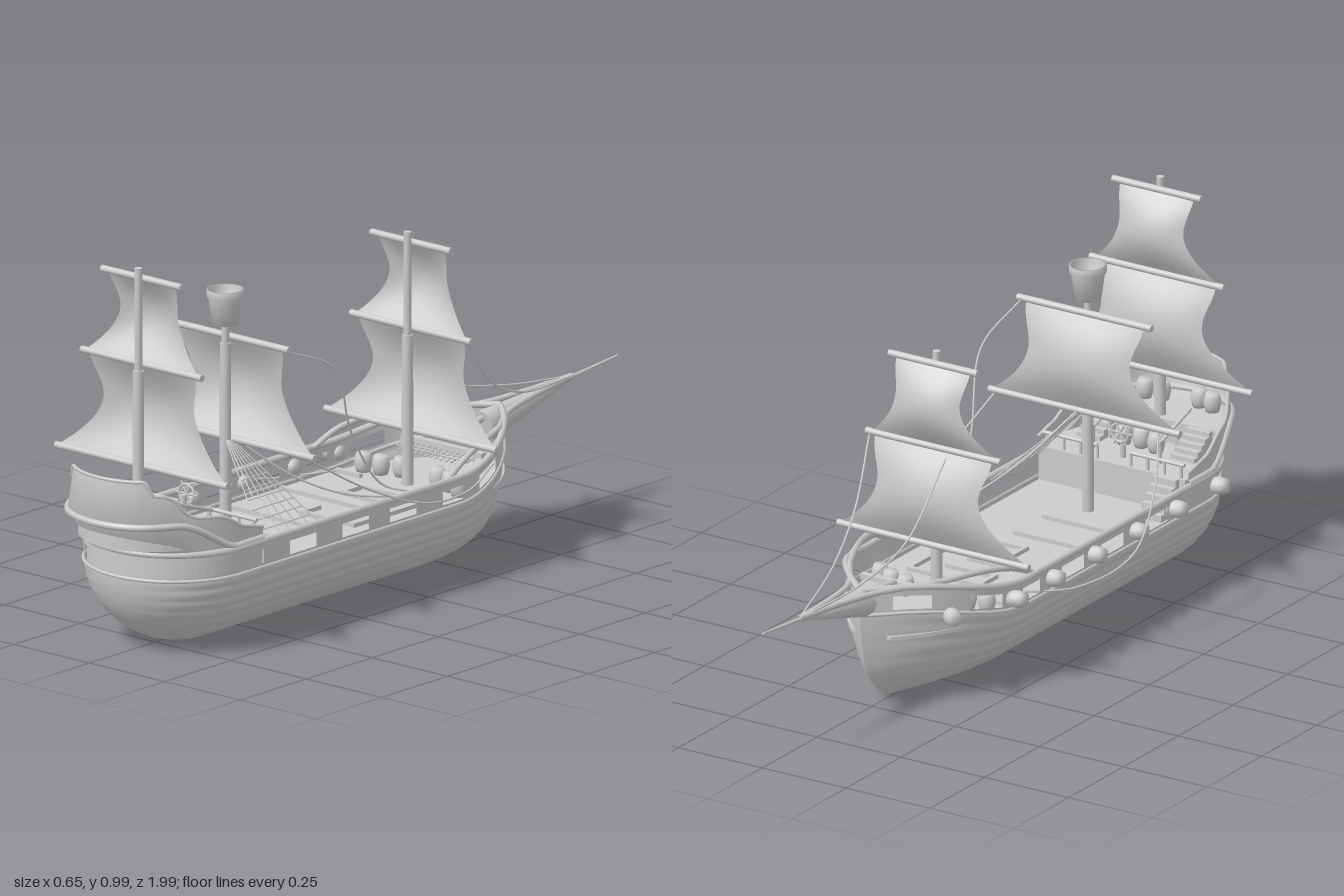
import * as THREE from 'three';

const mat = new THREE.MeshStandardMaterial({ color: 0xcccccc });
const matDS = new THREE.MeshStandardMaterial({ color: 0xcccccc, side: THREE.DoubleSide });
const V = (p) => new THREE.Vector3(...p);
const smooth = THREE.MathUtils.smoothstep;

export function createModel() {
  const root = new THREE.Group();
  const add = (name, geo, pos = [0, 0, 0], m = mat, parent = root) => {
    const mesh = new THREE.Mesh(geo, m);
    mesh.name = name;
    mesh.position.set(...pos);
    parent.add(mesh);
    return mesh;
  };
  const box = (name, w, h, d, pos) => add(name, new THREE.BoxGeometry(w, h, d), pos);
  const tube = (name, pts, r, seg = 40) =>
    add(name, new THREE.TubeGeometry(new THREE.CatmullRomCurve3(pts.map(V)), seg, r, 6));
  // Tapered round bar between two points
  const bar = (name, a, b, r0, r1 = r0, sides = 10) => {
    const d = V(b).sub(V(a));
    const mesh = add(name, new THREE.CylinderGeometry(r1, r0, d.length(), sides));
    mesh.position.copy(V(a).add(V(b)).multiplyScalar(0.5));
    mesh.quaternion.setFromUnitVectors(new THREE.Vector3(0, 1, 0), d.normalize());
    return mesh;
  };
  // Surface from a point rule, with optional missing cells
  const grid = (name, nu, nv, fn, skip = () => false) => {
    const pos = [], idx = [];
    for (let j = 0; j <= nv; j++) for (let i = 0; i <= nu; i++) pos.push(...fn(i, j));
    for (let j = 0; j < nv; j++) for (let i = 0; i < nu; i++) {
      if (skip(i, j)) continue;
      const a = j * (nu + 1) + i, b = a + 1, c = a + nu + 1, d = c + 1;
      idx.push(a, c, b, b, c, d);
    }
    const g = new THREE.BufferGeometry();
    g.setAttribute('position', new THREE.Float32BufferAttribute(pos, 3));
    g.setIndex(idx);
    g.computeVertexNormals();
    return add(name, g, [0, 0, 0], matDS);
  };

  // Hull plan: pointed bow, straight sides, round stern; c shrinks it towards the keel
  const BOW = 24, MID = 39, STERN = 16, H = BOW + MID + STERN;
  const plan = (j, c = 1) => {
    const i = j <= H ? j : 2 * H - j, s = j <= H ? 1 : -1;
    if (i < BOW) {
      const t = 1 - i / BOW;
      return [s * 0.225 * c * (1 - t ** 2.4), -0.1 - t * (0.27 + 0.185 * c)];
    }
    if (i <= BOW + MID) return [s * 0.225 * c, -0.1 + 0.78 * (i - BOW) / MID];
    const a = (i - BOW - MID) / STERN * Math.PI / 2;
    return [s * 0.225 * c * Math.cos(a), 0.68 + 0.225 * c * Math.sin(a)];
  };
  const sheer = (z) => 0.055 * smooth(-z, 0.15, 0.5);

  // Planked hull shell with open gun ports
  const levels = [];
  for (let k = 0; k <= 60; k++) levels.push(0.213 * (k / 60) ** 1.5);
  levels.push(0.216, 0.252, 0.275);
  const portLevel = 61;
  const ports = [[0.6, 0.68], [0.4, 0.5], [0.21, 0.31], [0.02, 0.12], [-0.16, -0.07], [-0.33, -0.23], [-0.5, -0.43]];
  grid('hull', 2 * H, levels.length - 1, (i, k) => {
    const y = levels[k];
    const c = Math.sqrt(1 - Math.max(0, 1 - y / 0.22) ** 2);
    const lap = y < 0.213 ? 1 + 0.018 * Math.abs(Math.sin(Math.PI * y / 0.03)) : 1.01;
    const [x, z] = plan(i, c);
    return [x * lap, y + sheer(z) * smooth(y, 0.08, 0.21), z];
  }, (i, k) => {
    if (k !== portLevel) return false;
    const h = i < H ? i : 2 * H - 1 - i, s = h - BOW - MID;
    if (s >= 0) return (s >= 2 && s <= 5) || (s >= 9 && s <= 12);
    const z = (plan(h)[1] + plan(h + 1)[1]) / 2;
    return ports.some(([a, b]) => z > a && z < b);
  });
  for (const [name, y, r] of [['gunwale', 0.275, 0.009], ['wale', 0.206, 0.005]]) {
    const pts = [];
    for (let j = 0; j <= 2 * H; j += 2) {
      const [x, z] = plan(j);
      pts.push([x * 1.01, y + sheer(z), z]);
    }
    tube(name, pts, r, 160);
  }

  // Decks cut from the hull plan
  const deck = (name, z0, z1, y0, y1, k = 0.97, dz = 0) => {
    const right = [];
    for (let j = 0; j <= H; j++) {
      const [x, z] = plan(j);
      if (z + dz >= z0 && z + dz <= z1) right.push([x * k, z + dz - 0.006]);
    }
    const ring = [...right, ...right.slice().reverse().map(([x, z]) => [-x, z])];
    const shape = new THREE.Shape(ring.map(([x, z]) => new THREE.Vector2(x, -z)));
    const g = new THREE.ExtrudeGeometry(shape, { depth: y1 - y0, bevelEnabled: false });
    add(name, g.rotateX(-Math.PI / 2), [0, y0, 0]);
  };
  deck('mainDeck', -0.5, 0.9, 0.19, 0.2);
  deck('quarterDeck', 0.6, 0.91, 0.2, 0.29);
  deck('poopDeck', 0.79, 0.98, 0.29, 0.35, 0.88, 0.05);

  // Raised strips on the main deck: x0, x1, z0, z1
  for (const [x0, x1, z0, z1] of [
    [-0.2, -0.13, -0.17, -0.17], [-0.06, 0.15, -0.1, -0.1], [-0.06, -0.06, -0.1, -0.03], [-0.06, 0.08, -0.03, -0.03],
    [0.15, 0.15, -0.1, 0.17], [-0.2, 0.06, 0.04, 0.04], [-0.02, 0.15, 0.17, 0.17], [-0.02, -0.02, 0.11, 0.17],
    [-0.2, 0.06, 0.25, 0.25], [-0.12, 0.06, 0.38, 0.38], [-0.12, -0.12, 0.38, 0.46]])
    box('deckStrip', x1 - x0 + 0.012, 0.012, z1 - z0 + 0.012, [(x0 + x1) / 2, 0.205, (z0 + z1) / 2]);

  // Flared, stepped stern bulwark with its rim
  const steps = [[0.6, 0.31], [0.68, 0.33], [0.74, 0.365], [0.83, 0.375], [0.86, 0.41], [0.875, 0.435],
    [0.915, 0.44], [0.925, 0.475], [1.1, 0.475]];
  const topY = (z) => {
    const n = Math.max(1, steps.findIndex((s) => s[0] >= z));
    const [a, b] = [steps[n - 1], steps[n]];
    return THREE.MathUtils.mapLinear(Math.max(z, 0.6), a[0], b[0], a[1], b[1]);
  };
  const first = BOW + 35, count = 2 * (H - first);
  const sternPoint = (i, k) => {
    const [x, z] = plan(first + i);
    const f = smooth(z, 0.7, 0.88), rimY = 0.282 + 0.078 * smooth(z, 0.7, 0.82);
    if (k === 0) return [x * 1.01, 0.275, z];
    if (k === 1) return [x * (1 - 0.03 * f), rimY, z + 0.075 * f];
    const zt = z + 0.06 * f;
    return [x * (1 - 0.06 * f), Math.max(rimY, topY(zt)), zt];
  };
  grid('sternBulwark', count, 2, sternPoint);
  const rim = [], cap = [];
  for (let i = 0; i <= count; i++) {
    rim.push(sternPoint(i, 1));
    cap.push(sternPoint(i, 2));
  }
  tube('sternRim', rim, 0.009, 100);
  tube('sternCap', cap, 0.005, 100);

  // Stairs, door and steering wheel
  const stairs = (x, z, y0, n, rise) => {
    for (let k = 0; k < n; k++)
      box('stairStep', 0.07, rise * (k + 1), 0.017, [x, y0 + rise * (k + 1) / 2, z + k * 0.017]);
  };
  stairs(-0.165, 0.52, 0.2, 5, 0.018);
  for (const s of [-1, 1]) {
    stairs(s * 0.14, 0.71, 0.29, 5, 0.012);
    for (const z of [0.66, 0.74]) bar('stairPost', [s * 0.1, 0.29, z], [s * 0.1, 0.35, z], 0.006);
    bar('stairRail', [s * 0.1, 0.34, 0.65], [s * 0.1, 0.39, 0.8], 0.005);
    bar('deckRail', [s * 0.05, 0.325, 0.605], [s * 0.21, 0.325, 0.605], 0.005);
    for (let k = 0; k < 4; k++) bar('railPost', [s * (0.05 + k * 0.05), 0.28, 0.605], [s * (0.05 + k * 0.05), 0.325, 0.605], 0.004);
  }
  box('door', 0.05, 0.07, 0.01, [-0.04, 0.235, 0.598]);
  bar('wheelPost', [0, 0.29, 0.645], [0, 0.36, 0.645], 0.008);
  add('wheelRing', new THREE.TorusGeometry(0.025, 0.004, 6, 20), [0, 0.36, 0.632]);
  for (let k = 0; k < 3; k++) {
    const a = k * Math.PI / 3, x = 0.036 * Math.cos(a), y = 0.036 * Math.sin(a);
    bar('wheelSpoke', [-x, 0.36 - y, 0.632], [x, 0.36 + y, 0.632], 0.003, 0.003, 6);
  }

  // Barrels on deck and hung outside the hull
  const barrelGeo = new THREE.LatheGeometry([[0, -0.025], [0.017, -0.025], [0.021, -0.012], [0.023, 0],
    [0.021, 0.012], [0.017, 0.025], [0, 0.025]].map((p) => new THREE.Vector2(...p)), 14);
  for (const [x, y, z] of [[-0.1, 0.375, 0.9], [-0.055, 0.375, 0.91], [0.05, 0.375, 0.9], [0.095, 0.375, 0.89],
    [-0.05, 0.315, 0.72], [0, 0.315, 0.73], [0.05, 0.315, 0.725], [-0.16, 0.225, -0.22], [-0.11, 0.225, -0.23],
    [-0.06, 0.225, -0.25], [0.07, 0.225, -0.24], [0.12, 0.225, -0.23], [0.165, 0.225, -0.21]])
    add('barrel', barrelGeo, [x, y, z]);
  for (const z of [0.72, 0.53, 0.35, 0.16, -0.03, -0.2])
    add('hungBarrel', barrelGeo, [-0.238, 0.24, z]).rotation.set(0, 0.3, Math.PI / 2);
  add('hungBarrel', barrelGeo, [-0.168, 0.24, -0.39]).rotation.set(0, -0.7, Math.PI / 2);

  // Masts, yards and billowing sails
  const sail = (z, yTop, yBot, wTop, wWaist, wBot) => grid('sail', 20, 16, (i, j) => {
    const u = i / 10 - 1, v = j / 16;
    const w = v < 0.4 ? THREE.MathUtils.lerp(wTop, wWaist, smooth(v, 0, 0.4))
      : wWaist + (wBot - wWaist) * ((v - 0.4) / 0.6) ** 1.8;
    const belly = Math.sin(Math.PI * v) * (0.028 + 0.022 * (1 - u * u));
    return [u * w, THREE.MathUtils.lerp(yTop, yBot, v), z - belly];
  });
  const yard = (y, z, w) => bar('yard', [-w, y, z], [w, y, z], 0.009);
  const rig = (z, base, top, shift, hasTopSail) => {
    bar('lowerMast', [0, base, z], [0, 0.72 + shift, z], 0.015, 0.014, 14);
    bar('upperMast', [0, 0.72 + shift, z], [0, top, z], 0.01, 0.01, 14);
    const zy = z - 0.014;
    yard(0.735 + shift, zy, 0.2);
    yard(0.47 + shift, zy, 0.285);
    sail(zy, 0.73 + shift, 0.475 + shift, 0.175, 0.15, 0.275);
    if (!hasTopSail) return;
    yard(0.958 + shift, zy, 0.132);
    sail(zy, 0.955 + shift, 0.742 + shift, 0.11, 0.095, 0.18);
  };
  rig(0.815, 0.34, 0.987, 0, true);
  rig(0.485, 0.2, 0.78, 0, false);
  rig(-0.205, 0.2, 0.857, -0.13, true);

  // Lookout basket
  add('lookoutBasket', new THREE.LatheGeometry([[0, 0.77], [0.034, 0.77], [0.043, 0.838], [0.047, 0.84],
    [0.048, 0.86], [0.042, 0.86], [0.034, 0.79], [0, 0.785]].map((p) => new THREE.Vector2(...p)), 20), [0, 0, 0.485], matDS);

  // Rope ladder net on one side of the main mast
  const net = (a, t) => [0.012 + 0.205 * t, 0.47 - 0.2 * t, 0.485 + a * (0.01 + 0.1 * t)];
  for (let k = 0; k < 7; k++) bar('netRope', net(k / 3 - 1, 0), net(k / 3 - 1, 1), 0.0018, 0.0018, 5);
  for (let k = 1; k < 10; k++) bar('netRung', net(-1, k / 10), net(1, k / 10), 0.0018, 0.0018, 5);

  // Bow rails, beakhead and bowsprit
  for (const s of [-1, 1])
    tube('bowRail', [[s * 0.222, 0.275, -0.1], [s * 0.21, 0.31, -0.18], [s * 0.185, 0.327, -0.27], [s * 0.13, 0.328, -0.4],
      [s * 0.05, 0.328, -0.53], [s * 0.02, 0.335, -0.66], [0, 0.345, -0.83]], 0.008, 50);
  bar('beakhead', [0, 0.285, -0.49], [0, 0.345, -0.84], 0.045, 0.004, 12).scale.x = 0.8;
  bar('bowsprit', [0, 0.3, -0.4], [0, 0.36, -1], 0.01, 0.003);
  box('bowBeam', 0.27, 0.014, 0.016, [0, 0.27, -0.34]);
  for (let k = -6; k <= 6; k++) bar('gratingBar', [k * 0.02, 0.27, -0.34], [k * 0.017, 0.25, -0.29], 0.0025, 0.0025, 5);
  for (const z of [-0.3, -0.32]) bar('gratingBar', [-0.12, 0.26, z], [0.12, 0.26, z], 0.0025, 0.0025, 5);

  // Loose ropes
  const ropes = [
    [[-0.22, 0.46, 0.47], [-0.3, 0.37, 0.33], [-0.325, 0.25, 0.2], [-0.28, 0.21, 0.02], [-0.17, 0.22, -0.13]],
    [[0.27, 0.46, 0.47], [0.3, 0.35, 0.28], [0.322, 0.28, 0.1], [0.29, 0.26, -0.1], [0.22, 0.28, -0.28]],
    [[0.19, 0.73, 0.47], [0.2, 0.65, 0.3], [0.16, 0.45, 0.19], [0.17, 0.3, 0.09], [0.21, 0.27, 0.02]],
    [[0.02, 0.47, 0.47], [0.1, 0.36, 0.34], [0.16, 0.3, 0.22], [0.21, 0.27, 0.08]],
    [[0.19, 0.6, -0.22], [0.14, 0.46, -0.36], [0.08, 0.38, -0.55], [0, 0.345, -0.83]],
    [[-0.05, 0.59, -0.24], [-0.04, 0.42, -0.4], [-0.03, 0.365, -0.6], [0, 0.345, -0.83]]];
  for (const r of ropes) tube('rope', r, 0.0028);
  return root;
}
